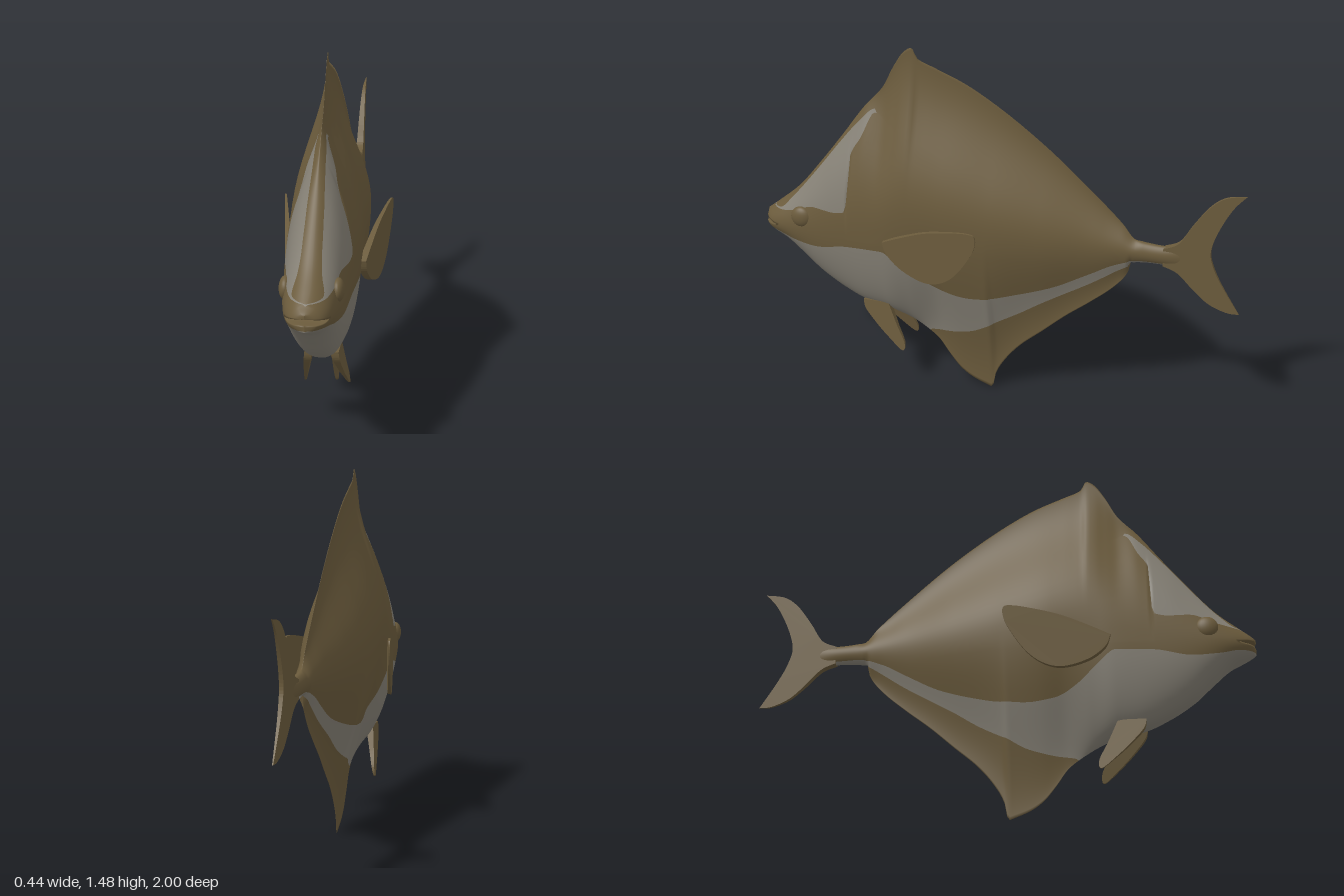
import * as THREE from 'three';
import { mergeVertices } from 'three/addons/utils/BufferGeometryUtils.js';

// Smooth overshoot-free curve y(z) through points listed from front (large z) to back
function curve(...pts) {
  const n = pts.length;
  const slope = pts.slice(1).map((p, i) => (p[1] - pts[i][1]) / (p[0] - pts[i][0]));
  const m = pts.map((_, i) => {
    if (i === 0) return slope[0];
    if (i === n - 1) return slope[n - 2];
    const a = slope[i - 1], b = slope[i];
    return a * b <= 0 ? 0 : (2 * a * b) / (a + b);
  });
  return z => {
    if (z >= pts[0][0]) return pts[0][1];
    if (z <= pts[n - 1][0]) return pts[n - 1][1];
    let i = 0;
    while (z < pts[i + 1][0]) i++;
    const h = pts[i + 1][0] - pts[i][0], t = (z - pts[i][0]) / h, u = 1 - t;
    return pts[i][1] * u * u * (1 + 2 * t) + m[i] * h * t * u * u
      + pts[i + 1][1] * t * t * (3 - 2 * t) - m[i + 1] * h * t * t * u;
  };
}

// Silhouette, dorsal and anal fins included
const top = curve([1, 0.705], [0.93, 0.76], [0.85, 0.83], [0.75, 0.95], [0.65, 1.08], [0.55, 1.215],
  [0.47, 1.305], [0.42, 1.4], [0.375, 1.465], [0.345, 1.482], [0.32, 1.44], [0.25, 1.41], [0.13, 1.36], [0, 1.285],
  [-0.2, 1.14], [-0.4, 0.965], [-0.52, 0.85], [-0.58, 0.785], [-0.7, 0.775], [-0.8, 0.775]);
const bottom = curve([1, 0.64], [0.95, 0.615], [0.9, 0.59], [0.82, 0.52], [0.75, 0.455], [0.65, 0.39],
  [0.55, 0.345], [0.45, 0.325], [0.4, 0.3], [0.3, 0.24], [0.25, 0.2], [0.2, 0.13], [0.15, 0.07], [0.1, 0.035],
  [0.04, 0.01], [0.015, 0.002], [0, 0.07], [-0.03, 0.13], [-0.1, 0.22], [-0.2, 0.31], [-0.3, 0.4],
  [-0.4, 0.48], [-0.5, 0.57], [-0.55, 0.64], [-0.56, 0.685], [-0.65, 0.695], [-0.8, 0.69]);
// Widest half-width, its height, and how pointed the section is above and below it
const width = curve([1, 0], [0.99, 0.04], [0.96, 0.068], [0.9, 0.09], [0.8, 0.108], [0.6, 0.127], [0.4, 0.14],
  [0.2, 0.141], [0, 0.128], [-0.2, 0.097], [-0.4, 0.055], [-0.6, 0.028], [-0.7, 0.023], [-0.8, 0.006]);
const middle = curve([1, 0.67], [0.8, 0.68], [0.5, 0.75], [0.3, 0.82], [0, 0.78], [-0.3, 0.75], [-0.6, 0.737], [-0.8, 0.735]);
const pointAbove = curve([1, 0.5], [0.7, 0.55], [0.55, 0.9], [0.4, 1.9], [0.3, 2], [-0.45, 2], [-0.6, 0.5]);
const pointBelow = curve([1, 0.45], [0.45, 0.38], [0.35, 0.7], [0.2, 1.7], [0, 2], [-0.5, 2], [-0.57, 0.5]);
// Colour borders: face patch, mouth gap, pale belly
const faceUpper = curve([1, 0.73], [0.92, 0.742], [0.86, 0.8], [0.8, 0.87], [0.72, 0.97], [0.65, 1.06],
  [0.56, 1.165], [0.5, 1.215], [0.49, 1.2], [0, 0.95], [-0.3, 0.85], [-0.6, 0.745]);
const faceLower = curve([1, 0.73], [0.92, 0.735], [0.85, 0.75], [0.75, 0.785], [0.66, 0.78], [0.61, 0.79],
  [0.6, 0.82], [0.595, 1.01], [0.55, 1.1], [0.5, 1.2], [0.49, 1.2], [0, 0.95], [-0.3, 0.85], [-0.6, 0.745]);
const mouthUpper = curve([1, 0.69], [0.97, 0.68], [0.93, 0.672], [-0.3, 0.672], [-0.6, 0.715]);
const mouthLower = curve([1, 0.665], [0.96, 0.666], [0.93, 0.672], [-0.3, 0.672], [-0.6, 0.715]);
const bellyUpper = curve([1, 0.645], [0.93, 0.638], [0.85, 0.62], [0.75, 0.61], [0.6, 0.635], [0.45, 0.64],
  [0.4, 0.605], [0.3, 0.52], [0.2, 0.47], [0.1, 0.455], [0, 0.465], [-0.1, 0.49], [-0.25, 0.54],
  [-0.4, 0.62], [-0.5, 0.675], [-0.6, 0.705], [-0.8, 0.7]);
const bellyLower = curve([1, 0], [0.32, 0.2], [0.28, 0.24], [0.2, 0.25], [0.1, 0.275], [0, 0.33], [-0.1, 0.385],
  [-0.2, 0.45], [-0.4, 0.57], [-0.55, 0.67], [-0.57, 0.68], [-0.8, 0.68]);

function halfWidth(y, z) {
  const mid = middle(z), above = y > mid;
  const t = Math.min(1, (y - mid) / ((above ? top(z) : bottom(z)) - mid));
  const c = Math.max(0, Math.cos(t * Math.PI / 2));
  return t > 0.9999 ? 0 : width(z) * Math.pow(c, (above ? pointAbove : pointBelow)(z));
}

function bodyGeometry() {
  const borders = [top, faceUpper, faceLower, mouthUpper, mouthLower, bellyUpper, bellyLower, bottom];
  // [upper border, lower border, steps, material]; mouth entries lead to and from the centre plane
  const bands = [[0, 1, 16, 0], [1, 2, 8, 1], [2, 3, 8, 0], [3, 3, 1, 0, 'in'], [4, 4, 1, 0, 'out'],
    [4, 5, 4, 0], [5, 6, 14, 1], [6, 7, 12, 0]];
  const stations = [];
  for (let i = 0; i < 14; i++) stations.push(1 - 0.07 * (i / 14) ** 2);
  for (let i = 0; i <= 173; i++) stations.push(0.93 - i * 0.01);

  const positions = [], indices = [[], []];
  for (const side of [1, -1]) {
    for (const [from, to, steps, material, jaw] of bands) {
      const start = positions.length / 3, rowLength = steps + 1;
      stations.forEach((z, s) => {
        const ys = [];
        borders.forEach((f, i) => {
          const y = Math.max(f(z), bottom(z));
          ys.push(i ? Math.min(y, ys[i - 1]) : y);
        });
        for (let r = 0; r <= steps; r++) {
          let k = r / steps;
          if (from === 0) k = k * k * 0.5 + k * 0.5; // finer rows near the ridges
          if (to === 7) k = 1 - ((1 - k) ** 2 * 0.5 + (1 - k) * 0.5);
          if (from === 5) k = Math.sin(k * Math.PI / 2);
          const y = ys[from] + (ys[to] - ys[from]) * k;
          const centre = (jaw === 'in' && r === 1) || (jaw === 'out' && r === 0);
          positions.push(centre ? 0 : side * halfWidth(y, z), y, z);
          if (s === stations.length - 1 || r === steps) continue;
          if (jaw && z < 0.9301) continue;
          const a = start + s * rowLength + r, b = a + 1, d = a + rowLength, c = d + 1;
          indices[material].push(...(side > 0 ? [a, b, d, b, c, d] : [a, d, b, b, d, c]));
        }
      });
    }
  }
  let g = new THREE.BufferGeometry();
  g.setAttribute('position', new THREE.Float32BufferAttribute(positions, 3));
  g.setIndex([...indices[0], ...indices[1]]);
  g.addGroup(0, indices[0].length, 0);
  g.addGroup(indices[0].length, indices[1].length, 1);
  g = mergeVertices(g, 1e-5);
  g.computeVertexNormals();
  return g;
}

// Thin fin: [z, y] outline made of splines, placed at x(z, y) with half-thickness thick(z, y)
function finGeometry(splines, x, thick) {
  const shape = new THREE.Shape();
  const v = ([z, y]) => new THREE.Vector2(-z, y);
  shape.moveTo(-splines[0][0][0], splines[0][0][1]);
  for (const s of splines) shape.splineThru(s.slice(1).map(v));
  const g = new THREE.ExtrudeGeometry(shape, { depth: 1, bevelEnabled: false, curveSegments: 5 });
  g.rotateY(Math.PI / 2);
  const p = g.attributes.position;
  for (let i = 0; i < p.count; i++) {
    const y = p.getY(i), z = p.getZ(i);
    p.setX(i, x(z, y) + (p.getX(i) - 0.5) * 2 * thick(z, y));
  }
  g.computeVertexNormals();
  return g;
}

export function createModel() {
  const fish = new THREE.Group();
  fish.name = 'fish';
  const brown = new THREE.MeshStandardMaterial({ color: 0x6b5b3c });
  brown.name = 'olive brown skin';
  const grey = new THREE.MeshStandardMaterial({ color: 0x858075 });
  grey.name = 'pale grey skin';
  const add = (name, geometry, material) => {
    const mesh = new THREE.Mesh(geometry, material);
    mesh.name = name;
    fish.add(mesh);
    return mesh;
  };

  add('body', bodyGeometry(), [brown, grey]);

  // Forked tail, thinning to the tips
  add('tailFin', finGeometry([
    [[-0.69, 0.77], [-0.75, 0.8], [-0.8, 0.88], [-0.86, 0.965], [-0.92, 1.013], [-1, 1.03]],
    [[-1, 1.03], [-0.95, 0.97], [-0.9, 0.87], [-0.875, 0.78], [-0.89, 0.71], [-0.93, 0.63], [-1, 0.52]],
    [[-1, 0.52], [-0.95, 0.522], [-0.88, 0.55], [-0.82, 0.6], [-0.75, 0.67], [-0.69, 0.695]],
    [[-0.69, 0.695], [-0.69, 0.77]],
  ], () => 0, z => 0.002 + 0.05 * Math.max(0, z + 1)), brown);

  for (const side of [1, -1]) {
    const label = side > 0 ? 'left' : 'right';
    const eye = add(label + 'Eye', new THREE.SphereGeometry(0.045, 24, 16), brown);
    eye.scale.x = 0.55;
    eye.position.set(side * 0.094, 0.73, 0.81);

    // Paddle-shaped fin standing off the flank
    add(label + 'PectoralFin', finGeometry([
      [[0.435, 0.695], [0.415, 0.645], [0.35, 0.59], [0.25, 0.556], [0.17, 0.572], [0.1, 0.63], [0.03, 0.74],
        [0.02, 0.805], [0.06, 0.815], [0.15, 0.8], [0.25, 0.775], [0.36, 0.73], [0.435, 0.695]],
    ], z => side * (0.142 + (0.43 - z) * 0.18), z => 0.003 + 0.025 * Math.max(0, z)), brown);

    // Small fin hanging under the belly
    add(label + 'PelvicFin', finGeometry([
      [[0.56, 0.37], [0.55, 0.33], [0.5, 0.27], [0.45, 0.22], [0.385, 0.165], [0.375, 0.2], [0.41, 0.275], [0.45, 0.37]],
      [[0.45, 0.37], [0.56, 0.37]],
    ], (z, y) => side * (0.055 + (0.34 - y) * 0.18), (z, y) => 0.003 + 0.06 * Math.max(0, y - 0.16)), brown);
  }
  return fish;
}
